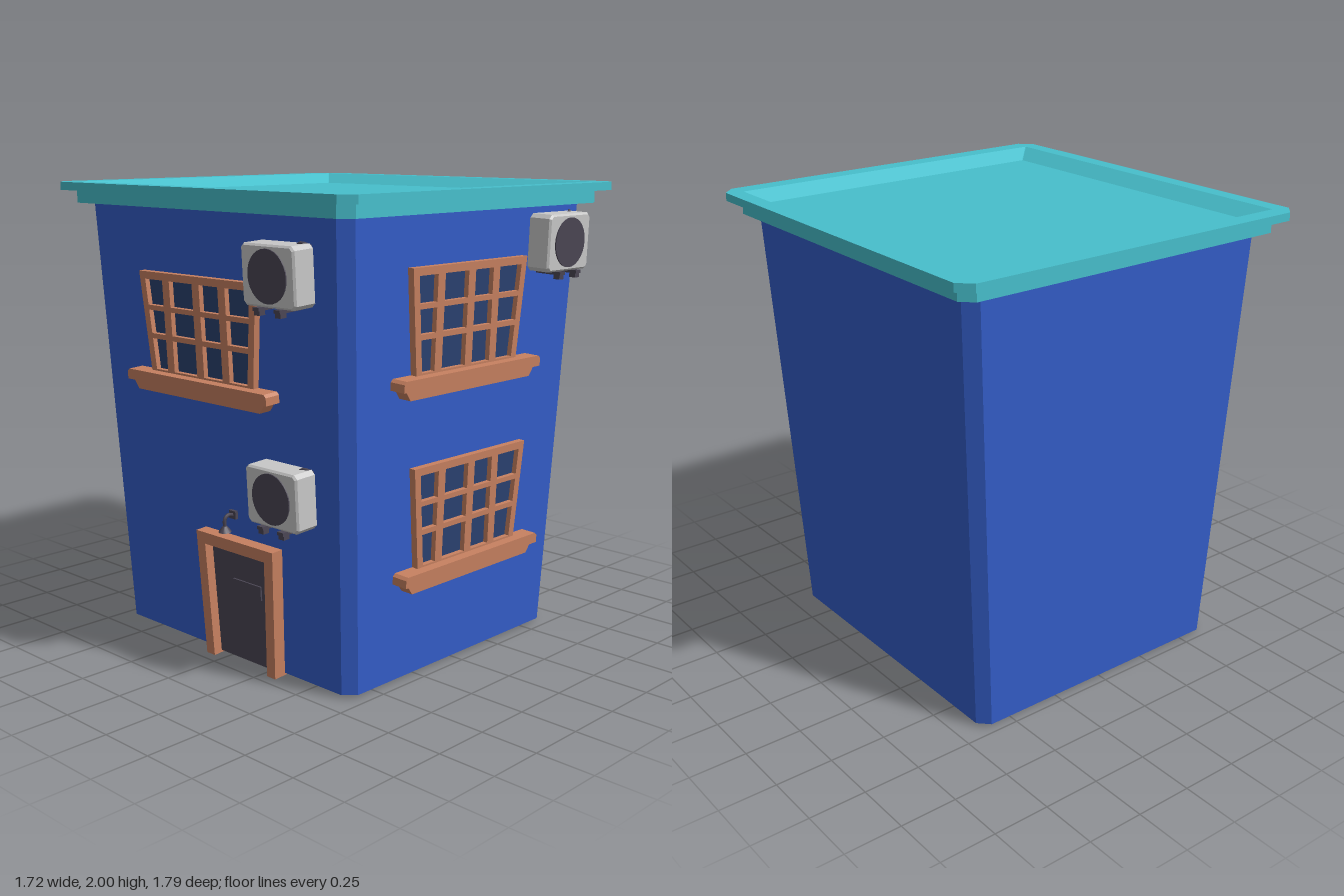
import * as THREE from 'three';

const mat = (name, color) => {
  const m = new THREE.MeshStandardMaterial({ color });
  m.name = name;
  return m;
};

// Flat-shaded solid through chamfered rectangles [halfX, halfZ, chamfer, y]
function loft(rings) {
  const pts = rings.map(([x, z, c, y]) => [
    [x, -z + c], [x, z - c], [x - c, z], [-x + c, z],
    [-x, z - c], [-x, -z + c], [-x + c, -z], [x - c, -z],
  ].map(([px, pz]) => [px, y, pz]));
  const out = [];
  const tri = (...t) => t.forEach((p) => out.push(...p));
  const last = pts.length - 1;
  for (let i = 0; i < 8; i++) {
    const j = (i + 1) % 8;
    for (let k = 0; k < last; k++) {
      tri(pts[k][i], pts[k + 1][i], pts[k][j]);
      tri(pts[k + 1][i], pts[k + 1][j], pts[k][j]);
    }
    tri([0, rings[0][3], 0], pts[0][i], pts[0][j]);
    tri([0, rings[last][3], 0], pts[last][j], pts[last][i]);
  }
  const g = new THREE.BufferGeometry();
  g.setAttribute('position', new THREE.Float32BufferAttribute(out, 3));
  g.computeVertexNormals();
  return g;
}

const poly = (pts, Type = THREE.Shape) => new Type(pts.map(([x, y]) => new THREE.Vector2(x, y)));

// Plate rising from the wall, sunk slightly into it
function plate(shape, height, sink = 0.012) {
  const g = new THREE.ExtrudeGeometry(shape, { depth: height + sink, bevelEnabled: false });
  return g.translate(0, 0, -sink);
}

export function createModel() {
  const wall = mat('wall blue', 0x345dc8);
  const roofMat = mat('roof turquoise', 0x47bfcc);
  const wood = mat('terracotta wood', 0xc68060);
  const glass = mat('navy glass', 0x2a4170);
  const metal = mat('light grey metal', 0xc8c8c8);
  const dark = mat('dark grey', 0x4b4654);

  const model = new THREE.Group();
  model.name = 'house';
  const add = (parent, name, geometry, material, x = 0, y = 0, z = 0) => {
    const m = new THREE.Mesh(geometry, material);
    m.name = name;
    m.position.set(x, y, z);
    parent.add(m);
    return m;
  };

  // Body flares towards the roof
  add(model, 'walls', loft([[0.65, 0.71, 0.047, 0.01], [0.754, 0.783, 0.05, 1.93]]), wall, 0.003, 0, -0.007);

  // Stepped roof with a sunken top
  add(model, 'roof', loft([
    [0.807, 0.835, 0.05, 1.91], [0.807, 0.835, 0.05, 1.965],
    [0.857, 0.89, 0.055, 1.965], [0.857, 0.89, 0.055, 2],
    [0.785, 0.81, 0.002, 2], [0.705, 0.735, 0.002, 1.955],
  ]), roofMat, 0.003, 0, -0.007);

  // Groups lying on the leaning walls; local z points out of the wall
  const onFront = (name, x, y) => {
    const g = new THREE.Group();
    g.name = name;
    g.position.set(x, y, 0.703 + 0.038 * (y - 0.01));
    g.rotation.x = 0.038;
    model.add(g);
    return g;
  };
  const onSide = (name, z, y) => {
    const g = new THREE.Group();
    g.name = name;
    g.position.set(-0.647 - 0.054 * (y - 0.01), y, z);
    g.rotation.set(0.054, -Math.PI / 2, 0, 'YXZ');
    model.add(g);
    return g;
  };

  // Window: twelve panes in a flared frame over a stepped sill
  function buildWindow(g) {
    const H = 0.425;
    const half = (y) => 0.32 + 0.042 * (y / H);
    const outline = [[-half(0), 0], [half(0), 0], [half(H), H], [-half(H), H]];
    const frame = poly(outline);
    const edge = (y) => half(y) - 0.034;
    const columns = [
      [(y) => -edge(y), () => -0.212], [() => -0.168, () => -0.022],
      [() => 0.022, () => 0.137], [() => 0.18, edge],
    ];
    for (const [b, t] of [[0.008, 0.14], [0.162, 0.262], [0.283, 0.393]]) {
      for (const [l, r] of columns) {
        frame.holes.push(poly([[l(b), b], [l(t), t], [r(t), t], [r(b), b]], THREE.Path));
      }
    }
    add(g, 'windowFrame', plate(frame, 0.029), wood);
    const inner = outline.map(([x, y]) => [x * 0.97, 0.004 + y * 0.97]);
    add(g, 'windowGlass', plate(poly(inner), 0.007, 0.002), glass);
    add(g, 'sillTop', plate(poly([
      [-0.437, -0.045], [0.437, -0.045], [0.437, -0.012], [0.425, 0], [-0.425, 0], [-0.437, -0.012],
    ]), 0.072), wood);
    add(g, 'sillBase', plate(poly([
      [-0.382, -0.085], [0.382, -0.085], [0.412, -0.045], [-0.412, -0.045],
    ]), 0.058), wood);
  }
  buildWindow(onFront('upperFrontWindow', -0.037, 1.282));
  buildWindow(onFront('lowerFrontWindow', 0.02, 0.477));
  buildWindow(onSide('sideWindow', -0.06, 1.215));

  // Air conditioner: chamfered case, round fan, two brackets, short pipe
  function buildCooler(g) {
    const w = 0.137, h = 0.112, c = 0.012;
    const shell = new THREE.ExtrudeGeometry(poly([
      [-w + c, -h], [w - c, -h], [w, -h + c], [w, h - c],
      [w - c, h], [-w + c, h], [-w, h - c], [-w, -h + c],
    ]), { depth: 0.095, bevelThickness: 0.008, bevelSize: 0.008, bevelSegments: 1 });
    add(g, 'coolerCase', shell, metal, 0, 0, 0.007);
    const fan = new THREE.CylinderGeometry(0.105, 0.105, 0.008, 28).rotateX(Math.PI / 2);
    add(g, 'coolerFan', fan, dark, 0, 0, 0.111);
    for (const x of [-0.058, 0.058]) {
      add(g, 'bracket', new THREE.BoxGeometry(0.034, 0.014, 0.14), dark, x, -0.127, 0.055);
      add(g, 'bracketTip', new THREE.BoxGeometry(0.03, 0.022, 0.03), dark, x, -0.141, 0.105);
    }
    const pipe = new THREE.CatmullRomCurve3([
      new THREE.Vector3(0.08, 0.1, 0.035), new THREE.Vector3(0.1, 0.123, 0.03),
      new THREE.Vector3(0.125, 0.115, 0.01), new THREE.Vector3(0.13, 0.1, -0.01),
    ]);
    add(g, 'coolerPipe', new THREE.TubeGeometry(pipe, 8, 0.006, 6), dark);
  }
  buildCooler(onFront('frontCooler', 0.507, 1.76));
  buildCooler(onSide('upperSideCooler', 0.462, 1.69));
  buildCooler(onSide('lowerSideCooler', 0.42, 0.81));

  // Door with flared surround and letter slot
  const door = onSide('door', 0.115, 0);
  add(door, 'doorFrame', plate(poly([
    [-0.215, 0], [-0.165, 0], [-0.183, 0.505], [0.183, 0.505],
    [0.165, 0], [0.215, 0], [0.235, 0.556], [-0.235, 0.556],
  ]), 0.056), wood);
  add(door, 'doorPanel', plate(poly([
    [-0.17, 0.01], [0.17, 0.01], [0.188, 0.51], [-0.188, 0.51],
  ]), 0.015), dark);
  add(door, 'letterSlot', new THREE.BoxGeometry(0.17, 0.06, 0.009), dark, 0.03, 0.34, 0.018);

  // Small hooked lamp above the door
  const lamp = onSide('doorLamp', 0.07, 0.65);
  add(lamp, 'lampMount', new THREE.BoxGeometry(0.04, 0.035, 0.016), dark, 0, 0, 0.006);
  const arm = new THREE.CatmullRomCurve3([
    new THREE.Vector3(0, -0.005, 0), new THREE.Vector3(0, 0.005, 0.035),
    new THREE.Vector3(0, -0.008, 0.055), new THREE.Vector3(0, -0.04, 0.058),
  ]);
  add(lamp, 'lampArm', new THREE.TubeGeometry(arm, 10, 0.008, 6), dark);
  add(lamp, 'lampShade', new THREE.CylinderGeometry(0.01, 0.028, 0.025, 12), dark, 0, -0.05, 0.058);

  return model;
}
